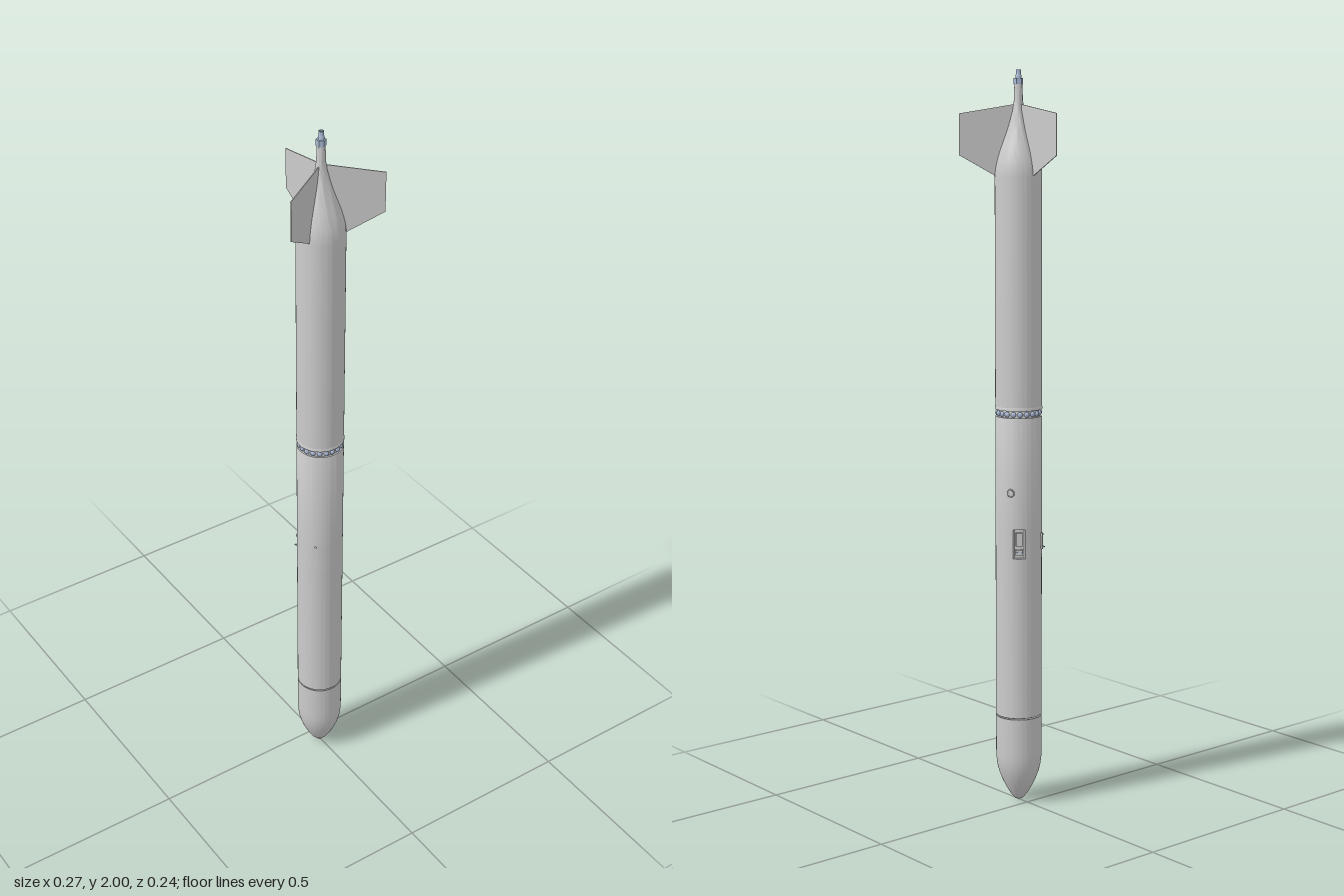
import * as THREE from 'three';
import { toCreasedNormals } from 'three/addons/utils/BufferGeometryUtils.js';

const grey = new THREE.MeshStandardMaterial({ color: 0xcccccc, side: THREE.DoubleSide });
const steel = new THREE.MeshStandardMaterial({ color: 0xa9b8d4, side: THREE.DoubleSide });
const rad = THREE.MathUtils.degToRad;

export function createModel() {
  const model = new THREE.Group();
  model.name = 'rocket';
  const rocket = new THREE.Group();
  rocket.name = 'rocketAssembly';
  rocket.position.z = 0.036;
  model.add(rocket);

  const R = 0.063;
  const add = (parent, name, geometry, material = grey, x = 0, y = 0, z = 0) => {
    const mesh = new THREE.Mesh(geometry, material);
    mesh.name = name;
    mesh.position.set(x, y, z);
    parent.add(mesh);
    return mesh;
  };
  const lathe = (name, pts, material = grey, segments = 64, start = 0, length = Math.PI * 2) =>
    add(rocket, name, toCreasedNormals(new THREE.LatheGeometry(
      pts.map(p => new THREE.Vector2(p[0], p[1])), segments, start, length), 0.6), material);
  // Group on the hull whose local +x points outwards at the given bearing
  const mount = (name, degrees, y, radius = 0) => {
    const g = new THREE.Group(), a = rad(degrees);
    g.name = name;
    g.position.set(radius * Math.cos(a), y, radius * Math.sin(a));
    g.rotation.y = -a;
    rocket.add(g);
    return g;
  };

  // Hull, split around the hatch opening
  const hatch = { low: 0.70, high: 0.78, from: -67, to: -35 };
  const phi = rad(90 - hatch.to), span = rad(hatch.to - hatch.from);
  lathe('nose', [[0, 0.003], [0.012, 0.008], [0.024, 0.023], [0.036, 0.043], [0.047, 0.066],
    [0.055, 0.088], [0.060, 0.108], [0.0625, 0.13], [R, 0.15], [R, 0.249], [0.0615, 0.25]]);
  lathe('lowerHull', [[0.0615, 0.252], [R, 0.253], [R, hatch.low]]);
  lathe('hatchBandHull', [[R, hatch.low], [R, hatch.high]], grey, 58, phi + span, Math.PI * 2 - span);
  lathe('middleHull', [[R, hatch.high], [R, 1.08], [0.062, 1.083], [0.057, 1.083],
    [0.057, 1.102], [0.064, 1.102], [0.064, 1.108], [R, 1.11]]);
  lathe('upperHull', [[R, 1.11], [R, 1.72], [0.062, 1.74], [0.058, 1.76], [0.051, 1.785],
    [0.042, 1.81], [0.031, 1.84], [0.022, 1.87], [0.0155, 1.895], [0.012, 1.92], [0.0105, 1.965], [0, 1.965]]);

  // Clamp ring of rounded bolts in the joint groove
  for (let i = 0; i < 20; i++) {
    const bolt = add(mount('jointBoltMount', i * 18, 1.092, 0.058), 'jointBolt',
      new THREE.SphereGeometry(0.0075, 12, 8), steel);
    bolt.scale.x = 0.7;
  }

  // Tail fitting: hexagonal nut and open tube
  lathe('tailNut', [[0.007, 1.962], [0.013, 1.962], [0.013, 1.978], [0.007, 1.978]], steel, 6);
  lathe('tailTube', [[0.008, 1.96], [0.008, 1.985], [0.0065, 1.988], [0.0065, 2.0],
    [0.0045, 2.0], [0.0045, 1.966], [0, 1.966]], steel, 24);

  // Three thin fins
  const finShape = new THREE.Shape([[0.008, 1.911], [0.158, 1.886], [0.158, 1.778], [0.064, 1.725], [0.03, 1.73]]
    .map(p => new THREE.Vector2(p[0], p[1])));
  const finGeometry = new THREE.ExtrudeGeometry(finShape, { depth: 0.0025, bevelEnabled: false });
  finGeometry.translate(0, 0, -0.00125);
  for (const bearing of [-88.7, 31.3, 151.3]) add(mount('finMount', bearing, 0), 'fin', finGeometry);

  // Recessed hatch with frame and fittings
  lathe('hatchRecess', [[R, hatch.low], [0.05, hatch.low], [0.05, hatch.high], [R, hatch.high]], grey, 10, phi, span);
  const midY = (hatch.low + hatch.high) / 2;
  for (const bearing of [hatch.from, hatch.to]) {
    add(mount('hatchJambMount', bearing, midY, 0.0568), 'hatchJamb', new THREE.BoxGeometry(0.0135, 0.08, 0.002));
  }
  const bay = mount('hatchFittings', (hatch.from + hatch.to) / 2, midY, 0.053);
  add(bay, 'equipmentBox', new THREE.BoxGeometry(0.008, 0.036, 0.018), grey, 0, 0.012, 0);
  add(bay, 'lowerBlock', new THREE.BoxGeometry(0.008, 0.014, 0.022), grey, 0, -0.024, 0);
  for (const s of [-1, 1]) {
    const plug = add(bay, 'plug', new THREE.CylinderGeometry(0.003, 0.003, 0.01, 12), steel, 0.002, -0.024, s * 0.006);
    plug.rotation.z = Math.PI / 2;
  }

  // Round port above the hatch
  const port = mount('roundPort', -30, 0.88, R);
  const rim = add(port, 'portRim', new THREE.TorusGeometry(0.0095, 0.0018, 8, 24));
  rim.rotation.y = Math.PI / 2;
  const cap = add(port, 'portCap', new THREE.CylinderGeometry(0.008, 0.008, 0.003, 24));
  cap.rotation.z = Math.PI / 2;

  // Small latch bracket at the back
  const latch = mount('latch', -125, 0.742, R);
  add(latch, 'latchBar', new THREE.BoxGeometry(0.004, 0.045, 0.003), grey, 0.004, 0, 0.005);
  for (const y of [-0.018, 0.016]) {
    add(latch, 'latchFoot', new THREE.BoxGeometry(0.007, 0.006, 0.014), grey, 0.001, y, 0);
  }
  const pin = add(latch, 'latchPin', new THREE.CylinderGeometry(0.002, 0.002, 0.012, 12), steel, 0.003, -0.018, -0.005);
  pin.rotation.z = Math.PI / 2;

  // Small stud on the front
  add(mount('studMount', 135, 0.78, R), 'stud', new THREE.SphereGeometry(0.003, 12, 8));

  return model;
}
